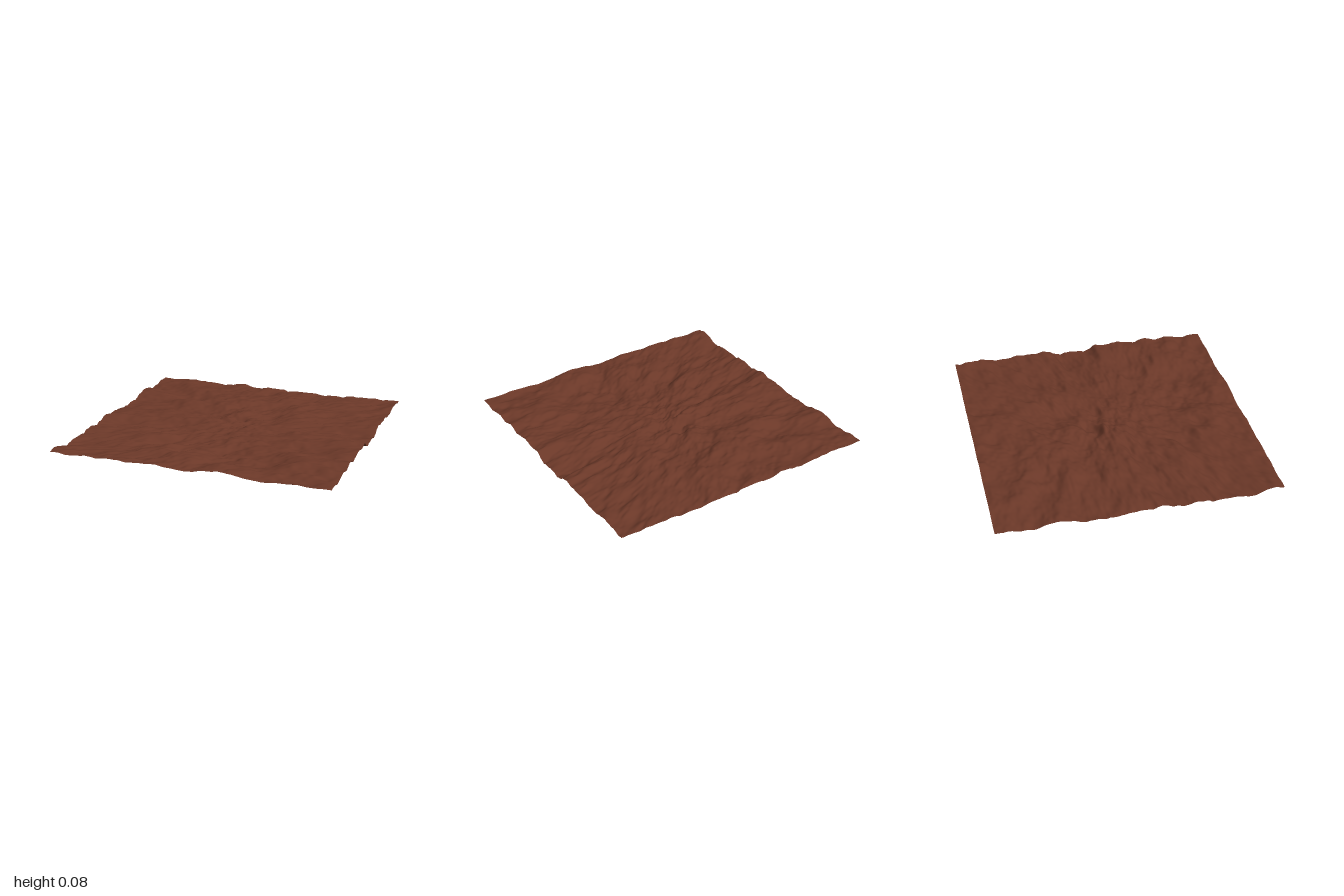
import * as THREE from 'three';

const SEGMENTS = 220;
const LOW = 0.005, HIGH = 0.085;

// Repeatable lattice value in -1..1
function lattice(i, j, seed) {
  let h = Math.imul(i, 374761393) + Math.imul(j, 668265263) + Math.imul(seed, 1442695041);
  h = Math.imul(h ^ (h >>> 13), 1274126177);
  return ((h ^ (h >>> 16)) >>> 0) / 2147483648 - 1;
}

// Smoothly interpolated lattice noise
function noise(x, y, seed) {
  const i = Math.floor(x), j = Math.floor(y);
  const fade = t => t * t * t * (t * (t * 6 - 15) + 10);
  const u = fade(x - i), v = fade(y - j);
  const { lerp } = THREE.MathUtils;
  return lerp(
    lerp(lattice(i, j, seed), lattice(i + 1, j, seed), u),
    lerp(lattice(i, j + 1, seed), lattice(i + 1, j + 1, seed), u), v);
}

// Layered noise: fine near the middle, stretched outwards and a little sideways
function roughness(x, z) {
  const stretch = Math.pow(x * x + z * z + 0.01, -0.16);
  const u = x * stretch, v = (z + 0.2 * x) * stretch;
  let sum = 0;
  for (let octave = 0, f = 5, a = 1; octave < 4; octave++, f *= 2, a *= 0.5) {
    sum += a * noise(u * f * 0.75 + 11.3, v * f * 1.3 + 7.7, octave + 1);
  }
  return sum;
}

export function createModel() {
  const group = new THREE.Group();
  group.name = 'groundPatch';

  // Flat sheet raised into uneven soil
  const geometry = new THREE.PlaneGeometry(2, 2, SEGMENTS, SEGMENTS).rotateX(-Math.PI / 2);
  const position = geometry.attributes.position;
  let min = Infinity, max = -Infinity;
  for (let i = 0; i < position.count; i++) {
    const h = roughness(position.getX(i), position.getZ(i));
    position.setY(i, h);
    min = Math.min(min, h);
    max = Math.max(max, h);
  }
  for (let i = 0; i < position.count; i++) {
    position.setY(i, THREE.MathUtils.mapLinear(position.getY(i), min, max, LOW, HIGH));
  }
  geometry.computeVertexNormals();

  const soil = new THREE.MeshStandardMaterial({ color: 0x6b3828, side: THREE.DoubleSide });
  const terrain = new THREE.Mesh(geometry, soil);
  terrain.name = 'soilSurface';
  group.add(terrain);
  return group;
}
